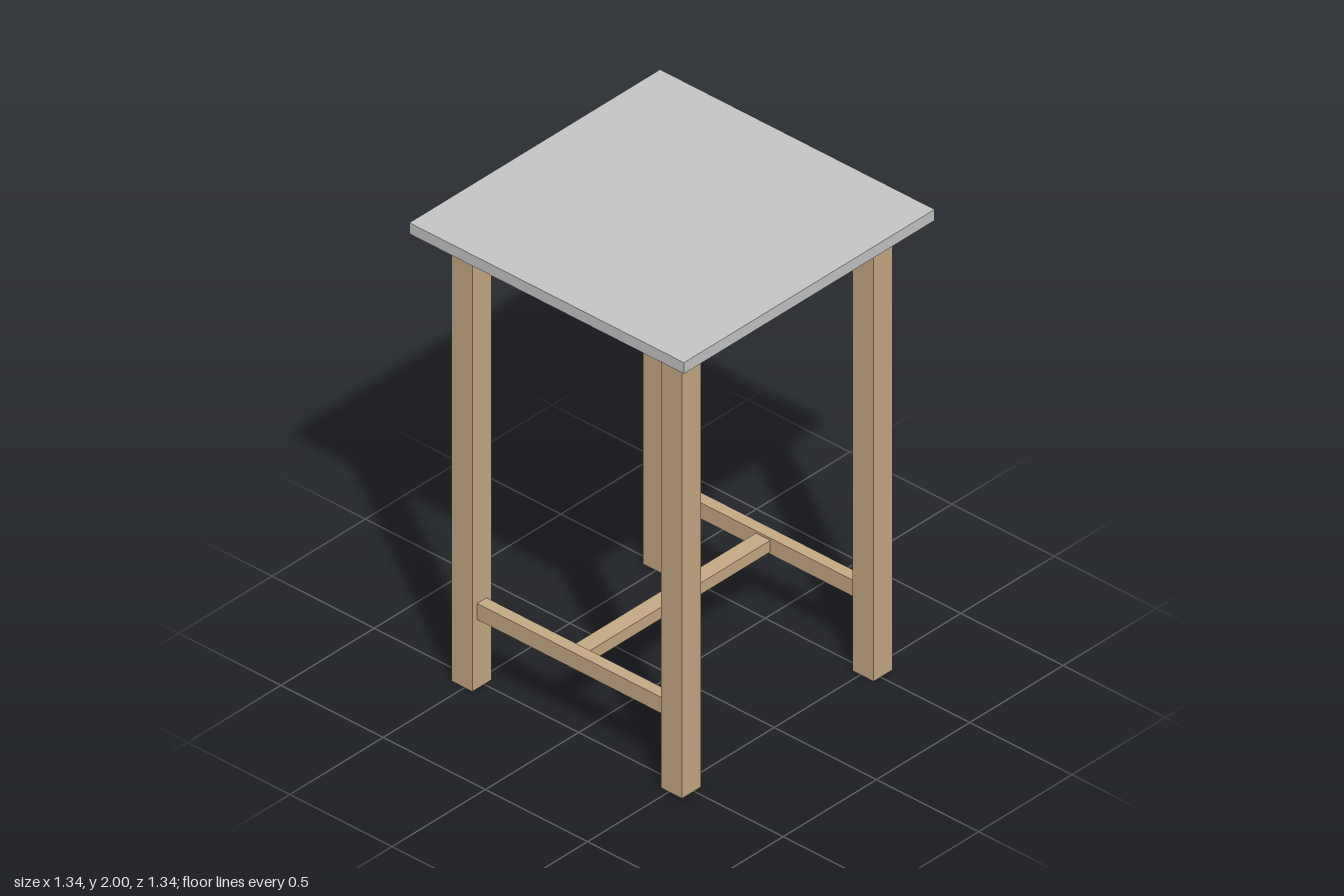
import * as THREE from 'three';

export function createModel() {
  const wood = new THREE.MeshStandardMaterial({ color: 0xc8ab86 });
  wood.name = 'light wood';
  const grey = new THREE.MeshStandardMaterial({ color: 0xc8c8c8 });
  grey.name = 'grey top';

  const table = new THREE.Group();
  table.name = 'barTable';

  function board(name, size, position, material = wood) {
    const mesh = new THREE.Mesh(new THREE.BoxGeometry(...size), material);
    mesh.name = name;
    mesh.position.set(...position);
    table.add(mesh);
  }

  const topY = 1.952;           // underside of the table top
  const legWidth = 0.102;
  const legAt = 0.513;          // leg centre line
  const span = 2 * legAt - legWidth; // clear gap between legs
  const thick = 0.05, depth = 0.07;  // rail section

  // Table top
  board('tableTop', [1.343, 2 - topY, 1.343], [0, (2 + topY) / 2, 0], grey);

  for (const s of [-1, 1]) {
    const side = s > 0 ? 'left' : 'right';
    const end = s > 0 ? 'front' : 'back';

    // Legs
    for (const t of [-1, 1]) {
      board(`${side}${t > 0 ? 'Front' : 'Back'}Leg`, [legWidth, topY, legWidth], [s * legAt, topY / 2, t * legAt]);
    }

    // Apron rails under the top
    const apronY = topY - depth / 2;
    board(`${end}Apron`, [span, depth, thick], [0, apronY, s * legAt]);
    board(`${side}Apron`, [thick, depth, span], [s * legAt, apronY, 0]);

    // Side stretchers
    board(`${side}Stretcher`, [thick, depth, span], [s * legAt, 0.336, 0]);
  }

  // Flat cross stretcher joining the two side stretchers
  board('centreStretcher', [2 * legAt - thick, thick, depth], [0, 0.336, 0]);

  return table;
}
